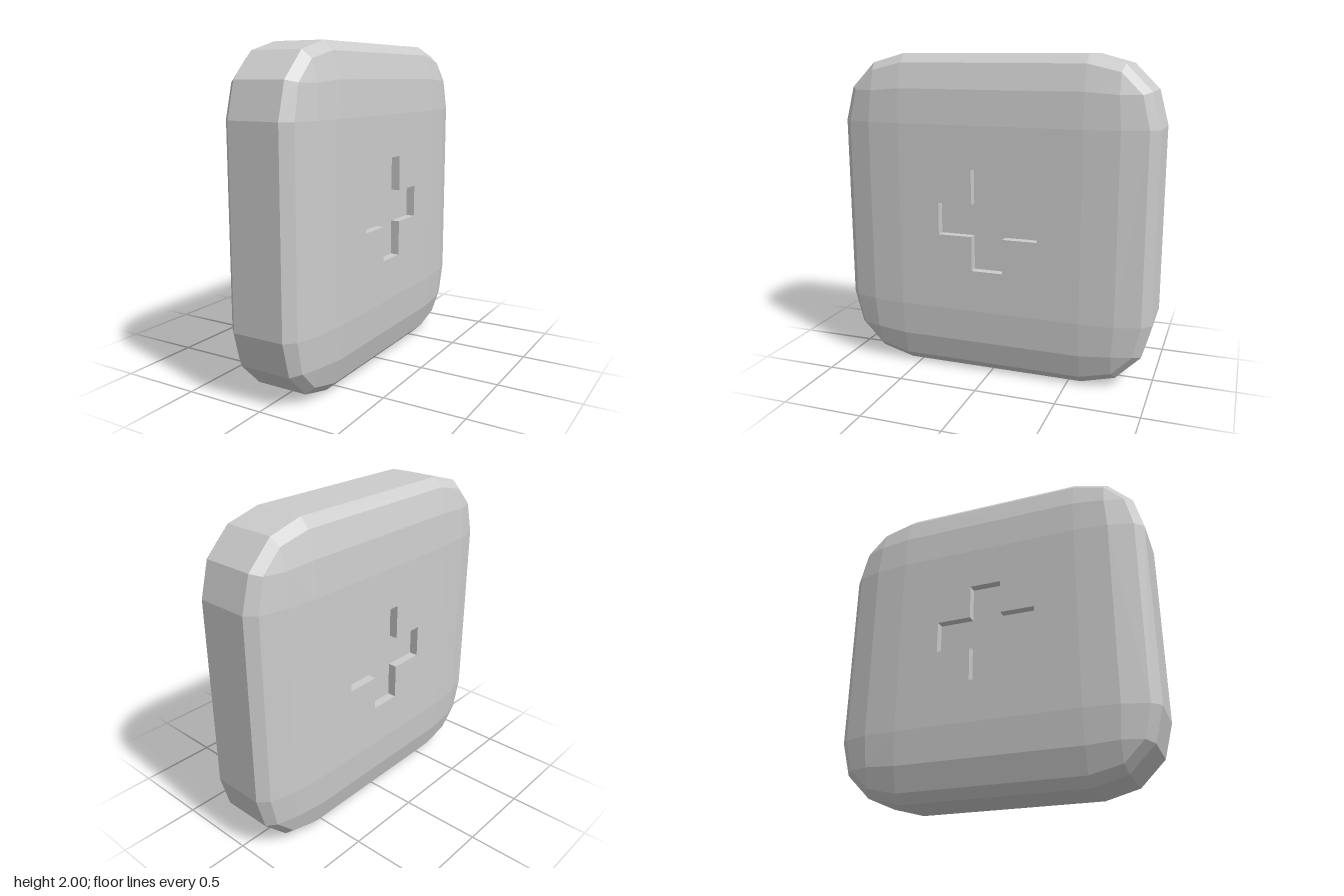
import * as THREE from 'three';
import { ConvexGeometry } from 'three/addons/geometries/ConvexGeometry.js';

const FLAT = 0.58, RADIUS = 0.42;       // flat half-size and corner radius
const CORE_X = 0.163, BULGE_X = 0.117;  // rim half-width and bulge of each side
const DEPTH = 0.055;                    // recess depth
const material = new THREE.MeshStandardMaterial({ color: 0xcccccc, flatShading: true });

// Directions of a three-segment bevel on one box corner
function cornerDirections() {
  const c = Math.cos(Math.PI / 6), a = 0.755, b = 0.464;
  return [
    [1, 0, 0], [0, 1, 0], [0, 0, 1],
    [c, 0.5, 0], [0.5, c, 0], [0, c, 0.5], [0, 0.5, c], [c, 0, 0.5], [0.5, 0, c],
    [a, b, b], [b, a, b], [b, b, a],
  ];
}

// Bevelled body, left open where the two flat side panels go
function bodyGeometry() {
  const points = [];
  for (const sx of [-1, 1]) for (const sy of [-1, 1]) for (const sz of [-1, 1]) {
    for (const [x, y, z] of cornerDirections()) {
      points.push(new THREE.Vector3(
        sx * (CORE_X + BULGE_X * x), sy * (FLAT + RADIUS * y), sz * (FLAT + RADIUS * z)));
    }
  }
  const hull = new ConvexGeometry(points);
  const pos = hull.getAttribute('position');
  const kept = [];
  const limit = CORE_X + BULGE_X - 1e-4;
  for (let i = 0; i < pos.count; i += 3) {
    const onPanel = [0, 1, 2].every(k => Math.abs(pos.getX(i + k)) > limit);
    if (onPanel) continue;
    for (let k = 0; k < 3; k++) kept.push(pos.getX(i + k), pos.getY(i + k), pos.getZ(i + k));
  }
  const geometry = new THREE.BufferGeometry();
  geometry.setAttribute('position', new THREE.Float32BufferAttribute(kept, 3));
  geometry.computeVertexNormals();
  return geometry;
}

// Plus outline, counter-clockwise: one arm turned four times
function plusPoints(w = 0.1, l = 0.317) {
  const points = [];
  for (let i = 0; i < 4; i++) {
    for (const [x, y] of [[l, -w], [l, w], [w, w]]) {
      points.push(new THREE.Vector2(x, y).rotateAround(new THREE.Vector2(), i * Math.PI / 2));
    }
  }
  return points;
}

// Inward-facing walls of the recess
function wallGeometry(points) {
  const v = [];
  points.forEach((p, i) => {
    const q = points[(i + 1) % points.length];
    v.push(p.x, p.y, 0, q.x, q.y, 0, q.x, q.y, -DEPTH);
    v.push(p.x, p.y, 0, q.x, q.y, -DEPTH, p.x, p.y, -DEPTH);
  });
  const geometry = new THREE.BufferGeometry();
  geometry.setAttribute('position', new THREE.Float32BufferAttribute(v, 3));
  geometry.computeVertexNormals();
  return geometry;
}

function addMesh(parent, geometry, name) {
  const mesh = new THREE.Mesh(geometry, material);
  mesh.name = name;
  parent.add(mesh);
  return mesh;
}

// Flat panel with a sunken plus, facing +z before it is turned
function sidePanel(name) {
  const group = new THREE.Group();
  group.name = name;
  const plus = plusPoints();
  const panel = new THREE.Shape([[-1, -1], [1, -1], [1, 1], [-1, 1]]
    .map(([x, y]) => new THREE.Vector2(x * FLAT, y * FLAT)));
  panel.holes.push(new THREE.Path(plus));
  addMesh(group, new THREE.ShapeGeometry(panel), 'panelFace');
  addMesh(group, wallGeometry(plus), 'recessWalls');
  addMesh(group, new THREE.ShapeGeometry(new THREE.Shape(plus)), 'recessFloor').position.z = -DEPTH;
  return group;
}

export function createModel() {
  const model = new THREE.Group();
  model.name = 'roundedBlock';
  addMesh(model, bodyGeometry(), 'body').position.y = 1;
  for (const side of [1, -1]) {
    const panel = sidePanel(side > 0 ? 'leftPanel' : 'rightPanel');
    panel.rotation.y = side * Math.PI / 2;
    panel.position.set(side * (CORE_X + BULGE_X), 1, 0);
    model.add(panel);
  }
  return model;
}
